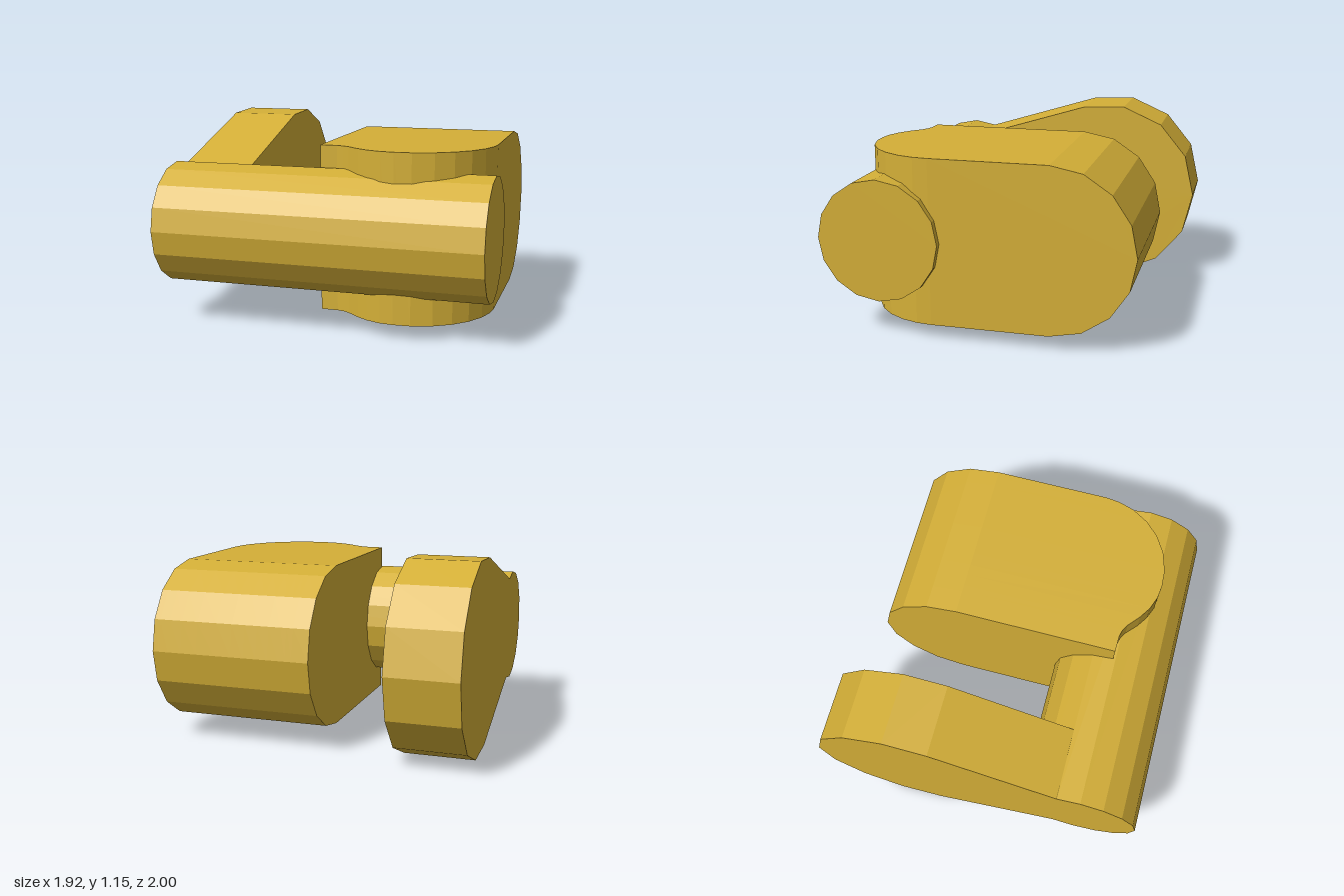
import * as THREE from 'three';

const MID = 0.58; // height of the mirror plane shared by all parts
const material = new THREE.MeshStandardMaterial({ color: 0xd4af37, flatShading: true });

// Mirrors an upper half [z, height above MID], listed from back to front, into a full loop.
function mirrored(half) {
  const lower = half.filter(([, h]) => h > 0.001).map(([z, h]) => [z, -h]).reverse();
  return [...half, ...lower];
}

// Skins convex z/y loops placed along x and closes both ends.
function loft(name, stations, section) {
  const rings = stations.map((x) => section(x).map(([z, h]) => new THREE.Vector3(x, MID + h, z)));
  const n = rings[0].length;
  const points = [];
  const tri = (a, b, c) => points.push(a, b, c);
  for (let i = 0; i < rings.length - 1; i++) {
    for (let j = 0; j < n; j++) {
      const k = (j + 1) % n;
      tri(rings[i][j], rings[i][k], rings[i + 1][k]);
      tri(rings[i][j], rings[i + 1][k], rings[i + 1][j]);
    }
  }
  const first = rings[0], last = rings[rings.length - 1];
  for (let j = 1; j < n - 1; j++) {
    tri(first[0], first[j + 1], first[j]);
    tri(last[0], last[j], last[j + 1]);
  }
  const geometry = new THREE.BufferGeometry().setFromPoints(points);
  geometry.computeVertexNormals();
  const mesh = new THREE.Mesh(geometry, material);
  mesh.name = name;
  return mesh;
}

// Upper arc from the back point, in steps of 22.5 degrees.
function arc(radius, centreZ, steps) {
  return Array.from({ length: steps + 1 }, (_, i) => {
    const a = (i * Math.PI) / 8;
    return [centreZ - radius * Math.cos(a), radius * Math.sin(a)];
  });
}

export function createModel() {
  const model = new THREE.Group();
  model.name = 'crankModel';

  // Sixteen-sided shaft running the full width
  const shaft = mirrored(arc(0.36, 0.64, 8));
  model.add(loft('shaft', [-0.965, 0.96], () => shaft));

  // Flat arm with a wide faceted head, tapering into the shaft
  const arm = mirrored([
    [-1, 0], [-0.94, 0.26], [-0.77, 0.465], [-0.52, 0.575], [-0.255, 0.565], [0.64, 0.29],
  ]);
  model.add(loft('arm', [-0.965, -0.54], () => arm));

  // Block with a rounded back; its front follows an S-curve in plan
  const front = [
    [-0.06, 0.625], [0.04, 0.627], [0.08, 0.637], [0.12, 0.66], [0.19, 0.72], [0.26, 0.765],
    [0.34, 0.795], [0.42, 0.805], [0.52, 0.8], [0.64, 0.765], [0.74, 0.705], [0.82, 0.625],
    [0.88, 0.525], [0.91, 0.43], [0.92, 0.34],
  ];
  const frontZ = new Map(front);
  model.add(loft('block', front.map(([x]) => x), (x) =>
    mirrored([...arc(0.49, -0.35, 4), [frontZ.get(x), 0.49]])));

  return model;
}
